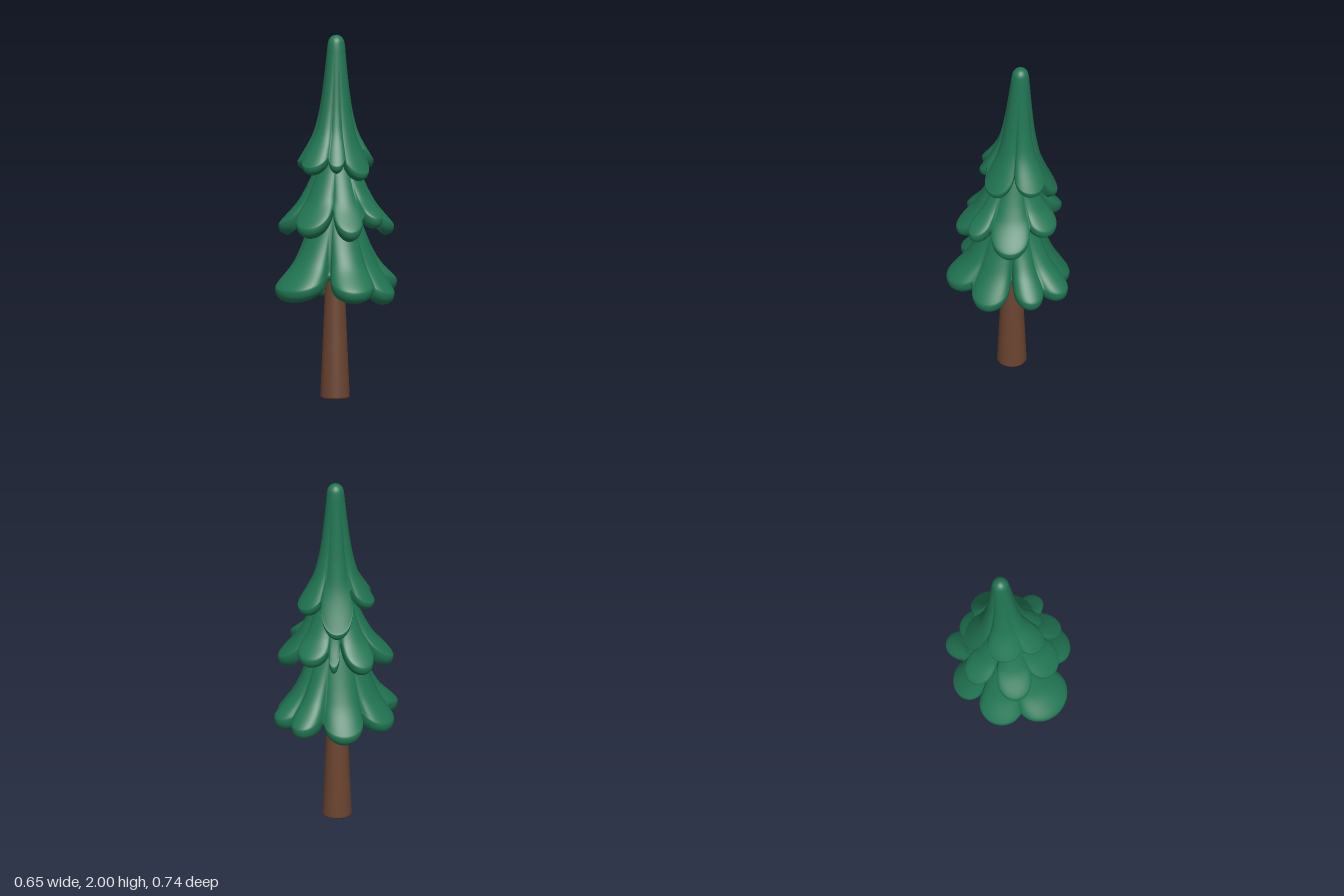
import * as THREE from 'three';

const SEGMENTS = 240;
const DOWN = 68;
const { lerp, clamp, degToRad } = THREE.MathUtils;

// Each lobe is [tip x, tip z, half width in radians, lowest y]
const lower = {
  top: [-0.02, -0.015], base: [-0.02, -0.01], y0: 1.1, r0: 0.1, tip: 0, slope: 0.75,
  notchR: 0.2, notchY: 0.67, round: 0.05,
  lobes: [
    [-0.03, 0.365, 0.66, 0.555], [0.325, 0.11, 0.5, 0.56], [0.28, -0.17, 0.46, 0.53],
    [0.07, -0.365, 0.33, 0.57], [-0.13, -0.37, 0.33, 0.57], [-0.3, -0.16, 0.5, 0.53],
    [-0.3, 0.16, 0.54, 0.54],
  ],
};
const middle = {
  top: [-0.025, -0.025], base: [-0.02, -0.02], y0: 1.4, r0: 0.07, tip: 0, slope: 0.75,
  notchR: 0.155, notchY: 1.09, round: 0.042,
  lobes: [
    [0.05, 0.275, 0.54, 0.91], [-0.22, 0.23, 0.47, 0.905], [-0.32, -0.03, 0.44, 0.93],
    [-0.2, -0.17, 0.2, 0.93], [-0.1, -0.29, 0.5, 0.97], [0.17, -0.27, 0.54, 0.9],
    [0.29, -0.07, 0.32, 0.96], [0.265, 0.11, 0.4, 0.9],
  ],
};
const upper = {
  top: [-0.055, -0.045], base: [-0.04, -0.03], y0: 2, r0: 0, tip: 0.22, slope: 0.36,
  notchR: 0.125, notchY: 1.38, round: 0.035,
  lobes: [
    [0, 0.21, 0.52, 1.25], [-0.19, 0.12, 0.7, 1.26], [-0.22, -0.16, 0.6, 1.14],
    [-0.01, -0.255, 0.58, 1.25], [0.16, -0.07, 0.68, 1.21], [0.12, 0.1, 0.34, 1.26],
  ],
};

// Reach and lowest height of the scalloped rim at one angle
function rimAt(tier, angle) {
  let radius = tier.notchR, y = tier.notchY, full = 0;
  for (const [tx, tz, width, tipY] of tier.lobes) {
    const dx = tx - tier.base[0], dz = tz - tier.base[1];
    const turn = angle - Math.atan2(dz, dx);
    const d = Math.atan2(Math.sin(turn), Math.cos(turn)) / width;
    if (Math.abs(d) >= 1) continue;
    const f = Math.sqrt(1 - d * d);
    const r = lerp(tier.notchR, Math.hypot(dx, dz), f);
    if (r > radius) {
      radius = r;
      y = lerp(tier.notchY, tipY, f);
      full = f;
    }
  }
  return { radius, y, round: tier.round * (0.55 + 0.45 * full) };
}

// Relative width of the outer slope: rounded tip, straight taper, flared hem
function slopeWidth(tier, t) {
  const dome = Math.sqrt(1 - (1 - Math.min(1, t / 0.07)) ** 2);
  return tier.tip * dome + tier.slope * t + (1 - tier.tip - tier.slope) * t ** 5;
}

// Skirt of drooping lobes: outer slope, rounded rim and underside
function tierGeometry(tier) {
  const rims = [];
  for (let i = 0; i < SEGMENTS; i++) rims.push(rimAt(tier, (i / SEGMENTS) * Math.PI * 2));
  const meanR = rims.reduce((sum, rim) => sum + rim.radius, 0) / SEGMENTS;
  const meanY = rims.reduce((sum, rim) => sum + rim.y, 0) / SEGMENTS;
  const positions = [], index = [];

  rims.forEach((rim, i) => {
    const angle = (i / SEGMENTS) * Math.PI * 2;
    const points = [];
    const add = (r, y) => points.push(new THREE.Vector2(r, y));
    const capR = (deg) => rim.round * (Math.cos(degToRad(deg)) - 1);
    const capY = (deg) => rim.round * (Math.sin(degToRad(deg)) + 1);

    // Lobes fade into a round cone towards the top
    for (let k = 0; k <= 10; k++) {
      const t = (k / 10) ** 2, blend = t ** 1.4;
      const endR = lerp(meanR, rim.radius, blend) + capR(45);
      const endY = lerp(meanY, rim.y, blend) + capY(45);
      add(lerp(tier.r0, endR, slopeWidth(tier, t)), lerp(tier.y0, endY, t));
    }
    for (let deg = 5; deg >= -125; deg -= 43) add(rim.radius + capR(deg), rim.y + capY(deg));
    add(rim.radius * 0.6, lerp(rim.y, tier.notchY, 0.5) + 0.04);
    add(0.03, tier.notchY + 0.05);

    for (const p of new THREE.SplineCurve(points).getPoints(DOWN)) {
      const t = clamp((tier.y0 - p.y) / (tier.y0 - meanY), 0, 1);
      positions.push(
        lerp(tier.top[0], tier.base[0], t) + Math.cos(angle) * p.x,
        p.y,
        lerp(tier.top[1], tier.base[1], t) + Math.sin(angle) * p.x,
      );
    }
    const here = i * (DOWN + 1), next = ((i + 1) % SEGMENTS) * (DOWN + 1);
    for (let j = 0; j < DOWN; j++) {
      index.push(here + j, next + j, here + j + 1);
      index.push(next + j, next + j + 1, here + j + 1);
    }
  });

  const geometry = new THREE.BufferGeometry();
  geometry.setAttribute('position', new THREE.Float32BufferAttribute(positions, 3));
  geometry.setIndex(index);
  geometry.computeVertexNormals();
  return geometry;
}

export function createModel() {
  const model = new THREE.Group();
  model.name = 'pineTree';
  const needles = new THREE.MeshStandardMaterial({ name: 'needleGreen', color: 0x217553 });
  const bark = new THREE.MeshStandardMaterial({ name: 'barkBrown', color: 0x6b4430 });
  const addPart = (name, geometry, material) => {
    const mesh = new THREE.Mesh(geometry, material);
    mesh.name = name;
    model.add(mesh);
    return mesh;
  };

  // Tapered trunk with a softened foot
  const outline = [[0, 0], [0.075, 0], [0.081, 0.01], [0.068, 0.3], [0.057, 0.56], [0.045, 0.85]];
  const profile = outline.map(([r, y]) => new THREE.Vector2(r, y));
  addPart('trunk', new THREE.LatheGeometry(profile, 40), bark).position.set(-0.022, 0, -0.008);

  // Three overlapping tiers of foliage
  addPart('lowerBranches', tierGeometry(lower), needles);
  addPart('middleBranches', tierGeometry(middle), needles);
  addPart('topBranches', tierGeometry(upper), needles);
  return model;
}
